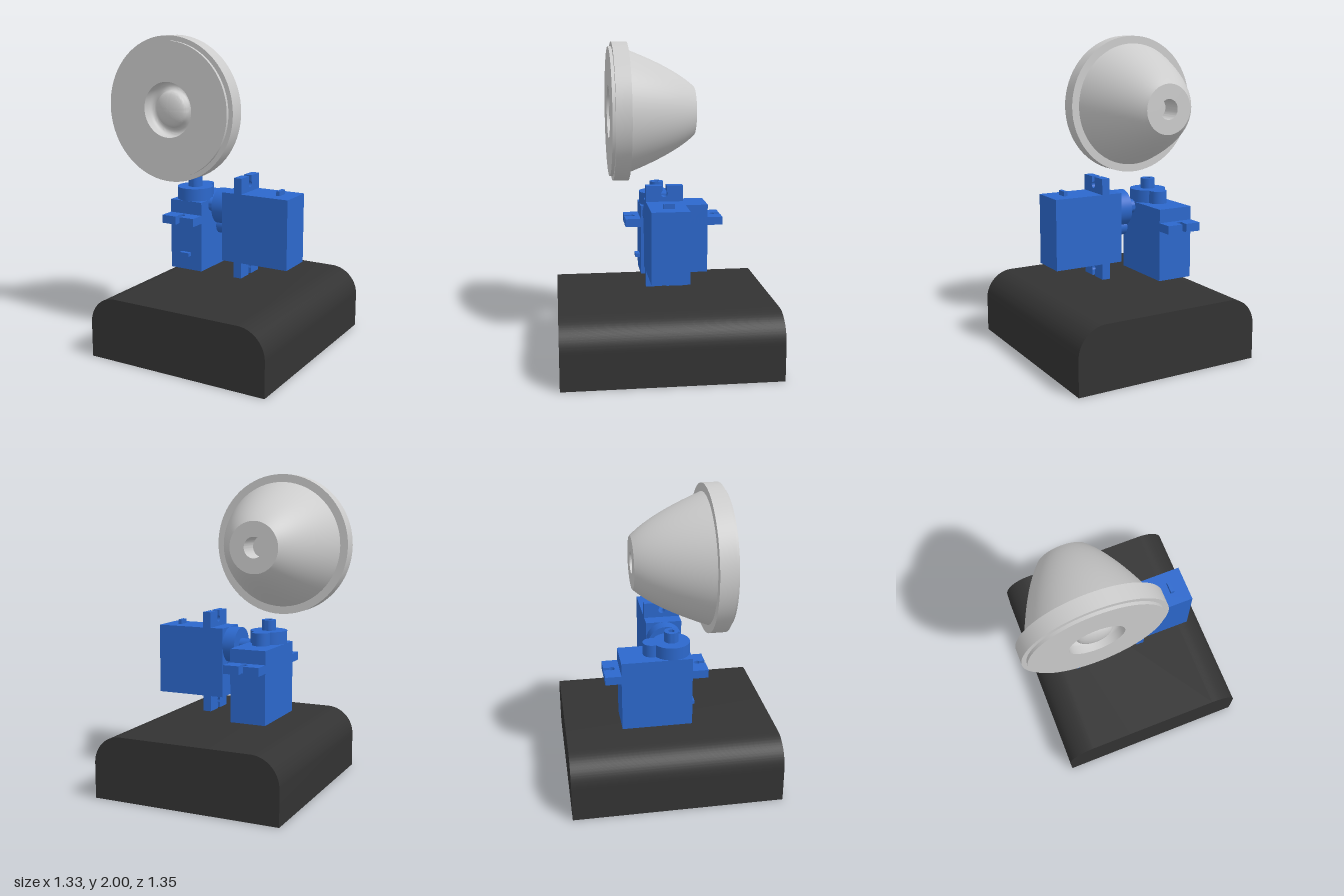
import * as THREE from 'three';
import { toCreasedNormals } from 'three/addons/utils/BufferGeometryUtils.js';

const blue = new THREE.MeshStandardMaterial({ color: 0x2c68cc });
blue.name = 'servoBlue';
const black = new THREE.MeshStandardMaterial({ color: 0x333333 });
black.name = 'baseBlack';
const grey = new THREE.MeshStandardMaterial({ color: 0xcccccc });
grey.name = 'lampGrey';

function add(parent, name, geometry, material, x = 0, y = 0, z = 0) {
  const mesh = new THREE.Mesh(geometry, material);
  mesh.name = name;
  mesh.position.set(x, y, z);
  parent.add(mesh);
  return mesh;
}

function lathe(points, segments) {
  const pts = points.map(([r, y]) => new THREE.Vector2(r, y));
  return toCreasedNormals(new THREE.LatheGeometry(pts, segments), 0.6);
}

// Block with rounded upper edges, extruded front to back
function makeBase() {
  const w = 0.615, h = 0.405, r = 0.18, depth = 1.35;
  const s = new THREE.Shape();
  s.moveTo(-w, 0);
  s.lineTo(w, 0);
  s.lineTo(w, h - r);
  s.absarc(w - r, h - r, r, 0, Math.PI / 2, false);
  s.lineTo(-w + r, h);
  s.absarc(-w + r, h - r, r, Math.PI / 2, Math.PI, false);
  s.closePath();
  const g = new THREE.ExtrudeGeometry(s, { depth, bevelEnabled: false, curveSegments: 20 });
  g.translate(0.045, 0, -depth / 2);
  return toCreasedNormals(g, 0.5);
}

// Mounting plate with a keyhole slot open at each end
function makeFlange() {
  const w = 0.116, l = 0.323, hole = 0.272, r = 0.021, slot = 0.015;
  const a = Math.asin(slot / r);
  const s = new THREE.Shape();
  s.moveTo(-w, -l);
  s.lineTo(-slot, -l);
  s.absarc(0, -hole, r, -Math.PI / 2 - a, -Math.PI / 2 + a, true);
  s.lineTo(slot, -l);
  s.lineTo(w, -l);
  s.lineTo(w, l);
  s.lineTo(slot, l);
  s.absarc(0, hole, r, Math.PI / 2 - a, Math.PI / 2 + a, true);
  s.lineTo(-slot, l);
  s.lineTo(-w, l);
  s.closePath();
  const g = new THREE.ExtrudeGeometry(s, { depth: 0.053, bevelEnabled: false, curveSegments: 16 });
  g.rotateX(-Math.PI / 2);
  g.translate(0, -0.138, 0);
  return g;
}

// Servo with its shaft along +y and the case top at y = 0
function makeServo(name) {
  const servo = new THREE.Group();
  servo.name = name;
  add(servo, 'servoCase', new THREE.BoxGeometry(0.232, 0.458, 0.445), blue, 0, -0.229, 0);
  add(servo, 'mountingFlange', makeFlange(), blue);
  add(servo, 'gearHousing', new THREE.CylinderGeometry(0.116, 0.116, 0.08, 48), blue, 0, 0.04, 0.1065);
  add(servo, 'smallGearHousing', new THREE.CylinderGeometry(0.056, 0.056, 0.08, 32), blue, 0, 0.04, -0.018);
  const shaft = [[0.045, 0], [0.045, 0.066], [0.02, 0.066], [0.02, 0.01], [0, 0.01]];
  add(servo, 'outputShaft', lathe(shaft, 32), blue, 0, 0.08, 0.1065);
  add(servo, 'cableTab', new THREE.BoxGeometry(0.07, 0.024, 0.03), blue, 0, -0.352, 0.2375);
  return servo;
}

// Reflector bowl, rim, recessed ring and lens, turned about the z axis
function makeLamp() {
  const p = [[0, -0.1], [0.065, -0.1], [0.065, -0.24]];
  const n = 24;
  for (let i = 0; i <= n; i++) {
    const t = i / n;
    p.push([Math.sqrt(0.0256 + 0.1344 * t), -0.24 + 0.44 * t]);
  }
  p.push([0.45, 0.2], [0.45, 0.3], [0.42, 0.3], [0.42, 0.32], [0.172, 0.32], [0.172, 0.27]);
  // Rounded groove around the lens
  for (let i = 1; i <= 10; i++) {
    const a = (Math.PI * i) / 10;
    p.push([0.142 + 0.03 * Math.cos(a), 0.27 - 0.03 * Math.sin(a)]);
  }
  // Domed lens
  for (let i = 1; i <= 12; i++) {
    const a = (Math.PI / 2) * (i / 12);
    p.push([i === 12 ? 0 : 0.112 * Math.cos(a), 0.27 + 0.045 * Math.sin(a)]);
  }
  const g = lathe(p, 72);
  g.rotateX(Math.PI / 2);
  return g;
}

export function createModel() {
  const model = new THREE.Group();
  model.name = 'servoLamp';

  add(model, 'base', makeBase(), black);

  const panServo = makeServo('panServo');
  panServo.position.set(-0.215, 0.94, -0.101);
  model.add(panServo);

  // Second servo lies on its side with the shaft towards -x
  const tiltServo = makeServo('tiltServo');
  tiltServo.quaternion.setFromRotationMatrix(new THREE.Matrix4().makeBasis(
    new THREE.Vector3(0, 0, -1), new THREE.Vector3(-1, 0, 0), new THREE.Vector3(0, 1, 0)));
  tiltServo.position.set(0.054, 0.804, 0.002);
  model.add(tiltServo);

  add(model, 'lampHead', makeLamp(), grey, -0.215, 1.55, 0);
  return model;
}
